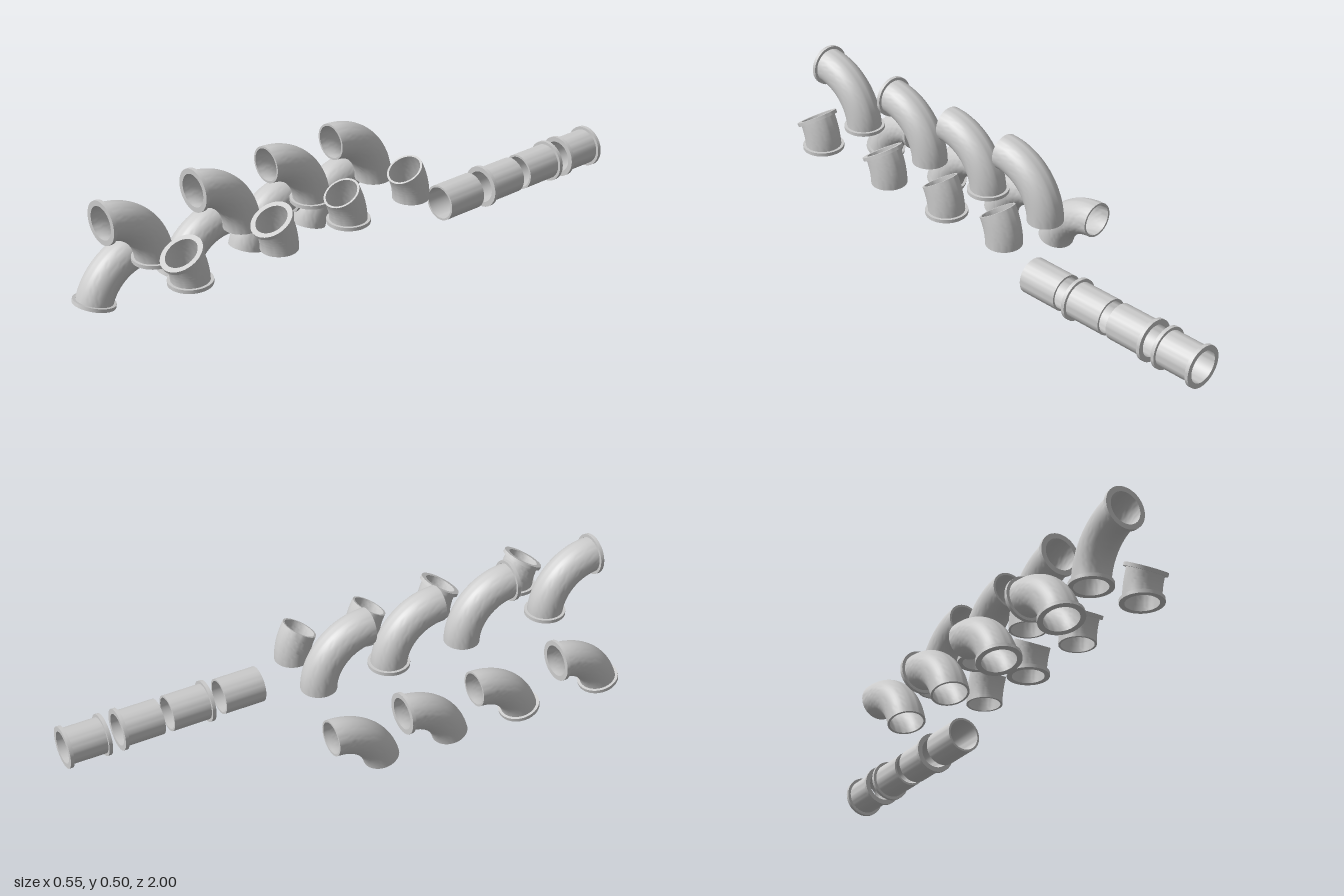
import * as THREE from 'three';
import { toCreasedNormals } from 'three/addons/utils/BufferGeometryUtils.js';

const OUTER = 0.0645, INNER = 0.057, FLANGE = 0.075, THICK = 0.013, SIDES = 48;
const material = new THREE.MeshStandardMaterial({ color: 0xcccccc });

// Closed hollow ring or tube standing on y = 0, split into steps along its length
function tubeGeometry(inner, outer, length, steps) {
  const profile = [];
  for (let i = 0; i <= steps; i++) profile.push(new THREE.Vector2(outer, (length * i) / steps));
  for (let i = steps; i >= 0; i--) profile.push(new THREE.Vector2(inner, (length * i) / steps));
  profile.push(profile[0].clone());
  return new THREE.LatheGeometry(profile, SIDES);
}

// Curve a tube that runs along +y towards +z with the given bend radius
function bend(geometry, radius) {
  const p = geometry.attributes.position;
  for (let i = 0; i < p.count; i++) {
    const t = p.getY(i) / radius, arm = radius - p.getZ(i);
    p.setY(i, arm * Math.sin(t));
    p.setZ(i, radius - arm * Math.cos(t));
  }
  return geometry;
}

function part(name, geometry) {
  const mesh = new THREE.Mesh(toCreasedNormals(geometry, 0.7), material);
  mesh.name = name;
  return mesh;
}

// One pipe piece with an optional flange at its start and end
function pipePiece(name, { angle = 0, radius = 0, length = 0 }, startFlange, endFlange) {
  const group = new THREE.Group();
  group.name = name;
  const wall = angle
    ? bend(tubeGeometry(INNER, OUTER, radius * angle, 20), radius)
    : tubeGeometry(INNER, OUTER, length, 1);
  group.add(part('pipeWall', wall));
  if (startFlange) group.add(part('startFlange', tubeGeometry(OUTER, FLANGE, THICK, 1)));
  if (endFlange) {
    const flange = part('endFlange', tubeGeometry(OUTER, FLANGE, THICK, 1).translate(0, -THICK, 0));
    flange.position.set(0, angle ? radius * Math.sin(angle) : length, radius * (1 - Math.cos(angle)));
    flange.rotation.x = angle;
    group.add(flange);
  }
  return group;
}

export function createModel() {
  const model = new THREE.Group();
  model.name = 'pipeSet';
  const deg = THREE.MathUtils.degToRad;

  // Each row holds four variants: plain, start flange, end flange, both flanges
  const rows = [
    { name: 'straightPipe', shape: { length: 0.153 }, x: 0.2, y: 0.165, lying: true,
      z: [-0.415, -0.8, -0.613, -1] },
    { name: 'slightElbow', shape: { angle: deg(30), radius: 0.23 }, x: 0.2, y: 0.233,
      z: [-0.125, 0.155, 0.45, 0.807] },
    { name: 'rightAngleElbow', shape: { angle: deg(90), radius: 0.193 }, x: 0, y: 0.235,
      z: [-0.126, 0.153, 0.452, 0.807] },
    { name: 'wideElbow', shape: { angle: deg(75), radius: 0.203 }, x: -0.2, y: 0.17, lying: true,
      z: [-0.186, 0.092, 0.384, 0.727] },
  ];

  for (const row of rows) {
    row.z.forEach((z, i) => {
      const piece = pipePiece(row.name + (i + 1), row.shape, i === 1 || i === 3, i >= 2);
      piece.position.set(row.x, row.y, z);
      if (row.lying) piece.rotation.x = Math.PI / 2;
      model.add(piece);
    });
  }
  return model;
}
